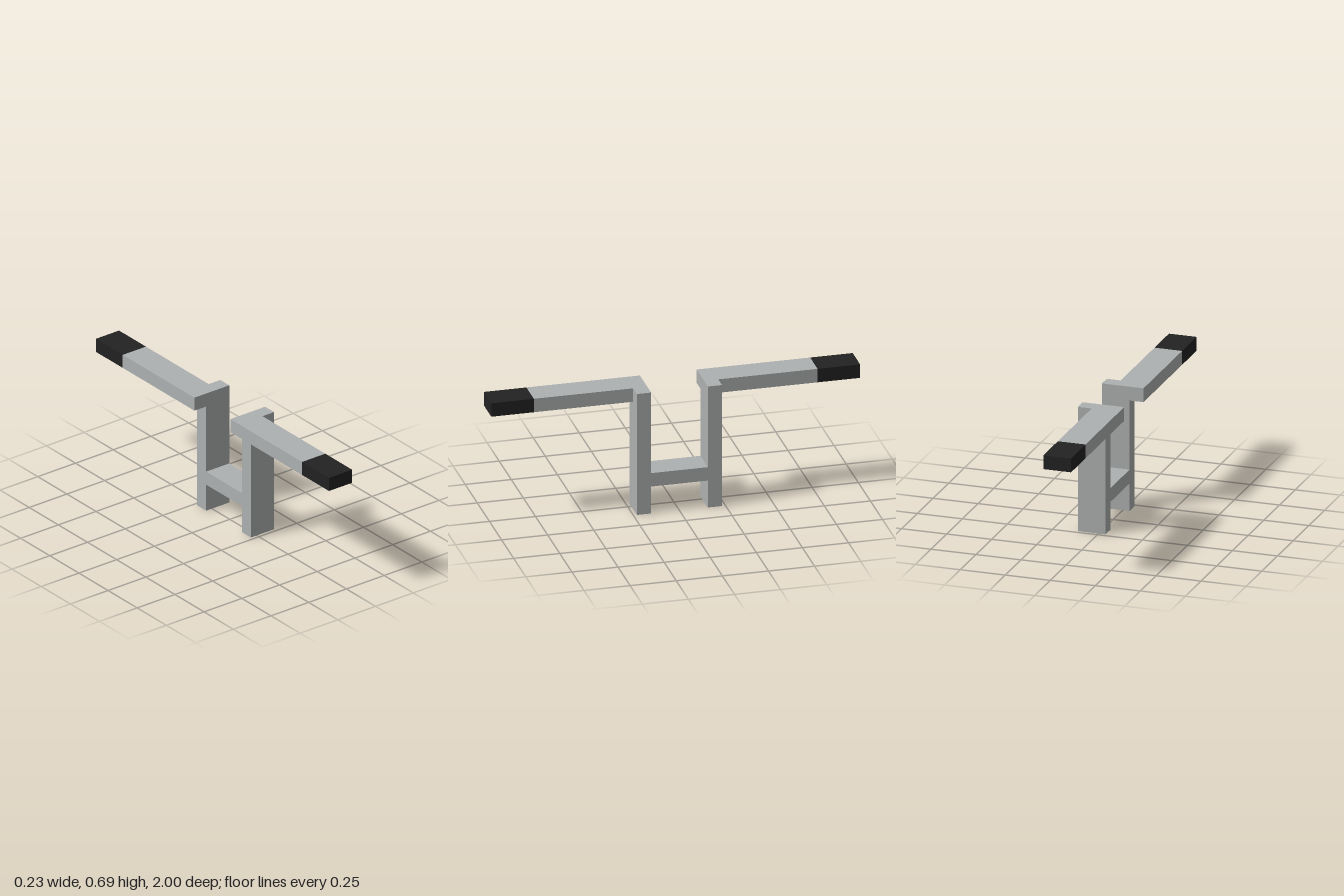
import * as THREE from 'three';

const U = 1 / 13; // the model sits on a 26-unit-long grid

export function createModel() {
  const grey = new THREE.MeshStandardMaterial({ color: 0xaeb1b1 });
  grey.name = 'metal grey';
  const black = new THREE.MeshStandardMaterial({ color: 0x222222 });
  black.name = 'grip black';

  // Box from minimum to maximum corner, in grid units
  function box(name, material, [x0, y0, z0], [x1, y1, z1]) {
    const geometry = new THREE.BoxGeometry((x1 - x0) * U, (y1 - y0) * U, (z1 - z0) * U);
    const mesh = new THREE.Mesh(geometry, material);
    mesh.position.set((x0 + x1) / 2 * U, (y0 + y1) / 2 * U, (z0 + z1) / 2 * U);
    mesh.name = name;
    return mesh;
  }

  const model = new THREE.Group();
  model.name = 'handleFrame';

  // Crossbar joining the two posts
  model.add(box('crossbar', grey, [-0.5, 2, -2], [1.5, 3, 2]));

  // Mirrored halves: post, offset shoulder, arm and dark grip
  for (const [side, s] of [['front', 1], ['back', -1]]) {
    const half = new THREE.Group();
    half.name = side + 'Half';
    const add = (part, material, x0, x1, y0, y1, near, far) => {
      const z0 = Math.min(s * near, s * far);
      const z1 = Math.max(s * near, s * far);
      half.add(box(side + part, material, [x0, y0, z0], [x1, y1, z1]));
    };
    add('Post', grey, -0.5, 1.5, 0, 9, 2, 3);
    add('Shoulder', grey, -1.5, -0.5, 8, 9, 2, 3);
    add('Arm', grey, -1.5, 0.5, 8, 9, 3, 10);
    add('Grip', black, -1.5, 0.5, 8, 9, 10, 13);
    model.add(half);
  }
  return model;
}
